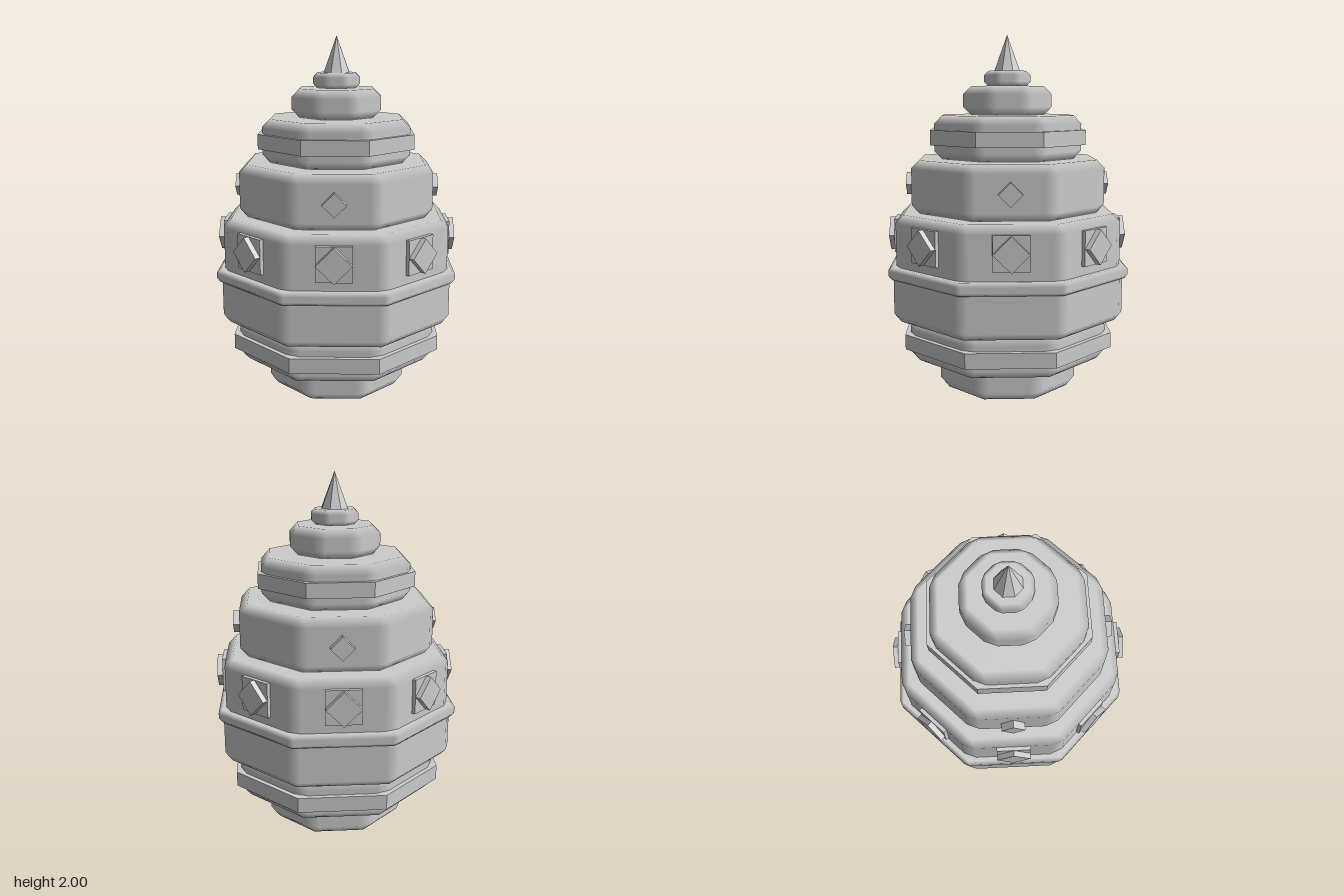
import * as THREE from 'three';

const T8 = Math.tan(Math.PI / 8);
const C8 = Math.cos(Math.PI / 8);

const stone = new THREE.MeshStandardMaterial({ color: 0xcccccc });
stone.name = 'grey stone';

// Octagonal block with chamfered edges; chamfers shade smoothly into flat panels
function chamferedOctagon(y0, y1, apothem, bevel) {
  const pos = [], nor = [], idx = [];
  const add = (x, y, z, nx, ny, nz) => {
    pos.push(x, y, z);
    nor.push(nx, ny, nz);
    return pos.length / 3 - 1;
  };
  const quad = (a, b, c, d) => idx.push(a, b, c, a, c, d);
  const half = apothem * T8 - bevel * 0.9;
  const capRadius = (apothem - bevel) / C8;
  const bottomCentre = add(0, y0, 0, 0, -1, 0);
  const topCentre = add(0, y1, 0, 0, 1, 0);
  const sides = [];
  for (let k = 0; k < 8; k++) {
    const t = k * Math.PI / 4, s = Math.sin(t), c = Math.cos(t);
    const side = (u, y) => add(s * apothem + c * u, y, c * apothem - s * u, s, 0, c);
    const e = t + Math.PI / 8, cx = Math.sin(e) * capRadius, cz = Math.cos(e) * capRadius;
    sides.push({
      leftLow: side(-half, y0 + bevel), rightLow: side(half, y0 + bevel),
      leftHigh: side(-half, y1 - bevel), rightHigh: side(half, y1 - bevel),
      bottom: add(cx, y0, cz, 0, -1, 0), top: add(cx, y1, cz, 0, 1, 0),
    });
  }
  sides.forEach((f, k) => {
    const next = sides[(k + 1) % 8], prev = sides[(k + 7) % 8];
    quad(f.leftLow, f.rightLow, f.rightHigh, f.leftHigh);
    quad(f.rightLow, next.leftLow, next.leftHigh, f.rightHigh);
    quad(f.leftHigh, f.rightHigh, f.top, prev.top);
    quad(prev.bottom, f.bottom, f.rightLow, f.leftLow);
    idx.push(f.rightHigh, next.leftHigh, f.top);
    idx.push(f.bottom, next.leftLow, f.rightLow);
    idx.push(topCentre, prev.top, f.top);
    idx.push(bottomCentre, f.bottom, prev.bottom);
  });
  const g = new THREE.BufferGeometry();
  g.setAttribute('position', new THREE.Float32BufferAttribute(pos, 3));
  g.setAttribute('normal', new THREE.Float32BufferAttribute(nor, 3));
  g.setIndex(idx);
  return g;
}

// Sharp-edged octagonal prism or cone, with a flat side facing the front
function sharpOctagon(y0, y1, bottomApothem, topApothem) {
  const g = new THREE.CylinderGeometry(topApothem / C8, bottomApothem / C8, y1 - y0, 8);
  g.rotateY(Math.PI / 8);
  g.translate(0, (y0 + y1) / 2, 0);
  const flat = g.toNonIndexed();
  flat.computeVertexNormals();
  return flat;
}

export function createModel() {
  const model = new THREE.Group();
  model.name = 'tieredFinial';
  const add = (name, geometry) => {
    const mesh = new THREE.Mesh(geometry, stone);
    mesh.name = name;
    model.add(mesh);
    return mesh;
  };

  // Stacked tiers: name, bottom, top, apothem, bevel
  [
    ['baseTier', 0, 0.186, 0.386, 0.05],
    ['lowerTier', 0.186, 0.422, 0.55, 0.05],
    ['bellyTier', 0.422, 0.72, 0.635, 0.042],
    ['beltRing', 0.665, 0.735, 0.66, 0.02],
    ['jewelTier', 0.69, 1.02, 0.619, 0.045],
    ['shoulderTier', 1.02, 1.315, 0.532, 0.046],
    ['upperTier', 1.315, 1.556, 0.407, 0.046],
    ['neckTier', 1.556, 1.716, 0.247, 0.045],
    ['capTier', 1.716, 1.8, 0.129, 0.024],
  ].forEach(([name, ...size]) => add(name, chamferedOctagon(...size)));

  // Sharp bands around two tiers, and the tip
  add('lowerBand', sharpOctagon(0.26, 0.345, 0.575, 0.575));
  add('upperBand', sharpOctagon(1.395, 1.477, 0.426, 0.426));
  add('spike', sharpOctagon(1.8, 2, 0.071, 0));

  // Box set into a tier face, its outer side at the given distance
  const inset = (name, angle, y, size, outer, turn) => {
    const depth = 0.08;
    const g = new THREE.BoxGeometry(size, size, depth);
    g.rotateZ(turn);
    g.translate(0, y, outer - depth / 2);
    add(name, g).rotation.y = angle;
  };
  for (let k = 0; k < 8; k++) {
    const angle = k * Math.PI / 4;
    inset('jewelPlate', angle, 0.88, 0.19, 0.64, 0);
    inset('jewel', angle, 0.88, 0.134, 0.671, Math.PI / 4);
    // Small studs on the diagonal faces only
    if (k % 2) inset('stud', angle, 1.168, 0.09, 0.573, Math.PI / 4);
  }
  return model;
}
